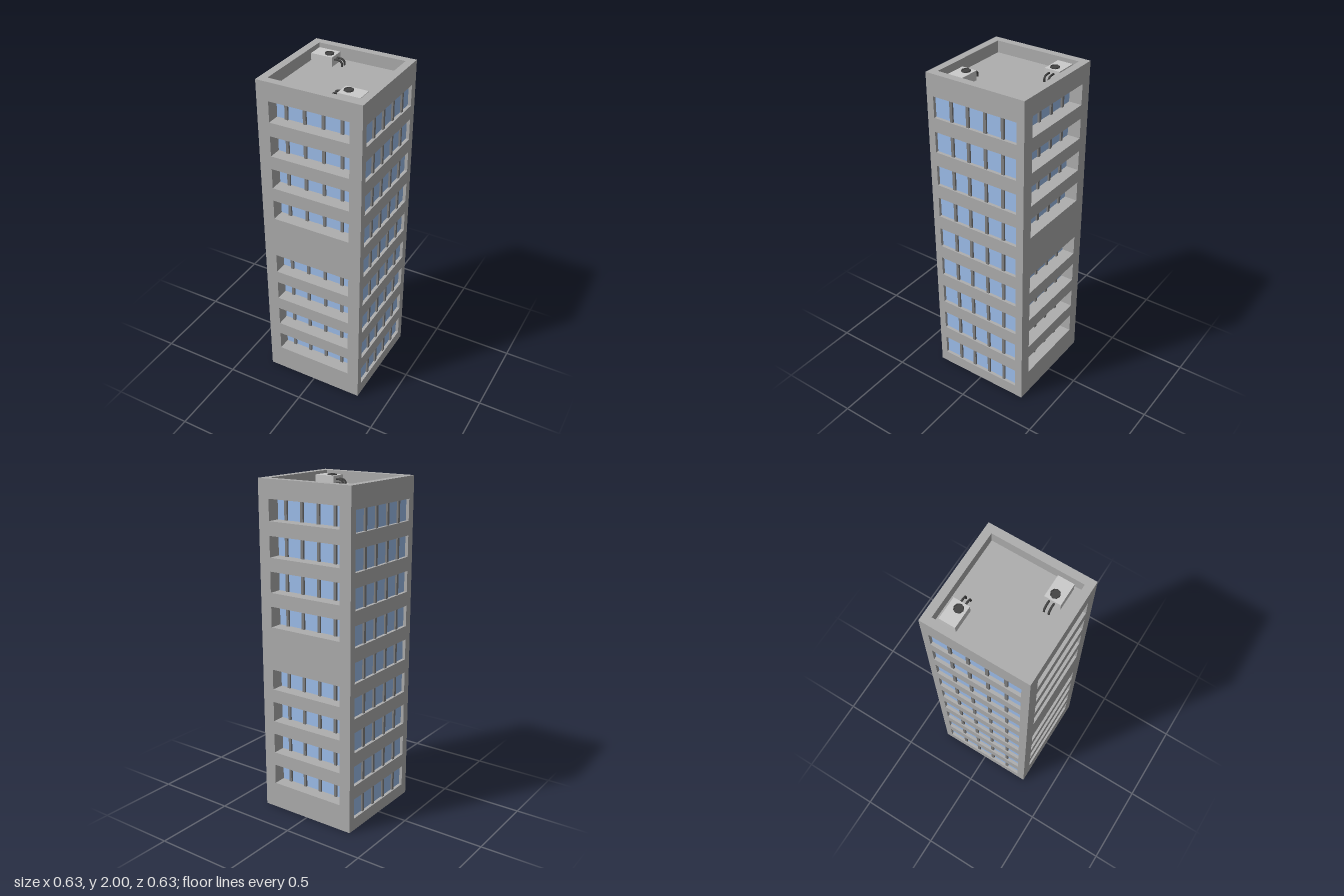
import * as THREE from 'three';

const HALF = 0.313, ROOF = 1.93, TOP = 2, RIM = 0.267;
const FRONT_DEPTH = 0.08, SIDE_DEPTH = 0.02;

const mat = (color) => new THREE.MeshStandardMaterial({ color, flatShading: true });
const wallMat = mat(0xaeaeae), mullionMat = mat(0x808080), glassMat = mat(0x9ebfec);
const unitMat = mat(0xcccccc), darkMat = mat(0x444444);

function add(parent, name, geometry, material, x = 0, y = 0, z = 0) {
  const mesh = new THREE.Mesh(geometry, material);
  mesh.name = name;
  mesh.position.set(x, y, z);
  parent.add(mesh);
  return mesh;
}

function box(parent, name, material, [x0, x1], [y0, y1], [z0, z1]) {
  return add(parent, name, new THREE.BoxGeometry(x1 - x0, y1 - y0, z1 - z0), material,
    (x0 + x1) / 2, (y0 + y1) / 2, (z0 + z1) / 2);
}

function rectPath(Type, x0, x1, y0, y1) {
  return new Type([[x0, y0], [x1, y0], [x1, y1], [x0, y1]].map((p) => new THREE.Vector2(...p)));
}

// One facade: a wall with long openings, each holding a glass strip and four mullions
function facade({ name, halfWidth, depth, span, rows, rowHeight, mullions }) {
  const group = new THREE.Group();
  group.name = name;
  const wall = rectPath(THREE.Shape, -halfWidth, halfWidth, 0, ROOF);
  const back = HALF - depth;
  for (const y of rows) {
    wall.holes.push(rectPath(THREE.Path, span[0], span[1], y, y + rowHeight));
    box(group, 'windowGlass', glassMat, span, [y, y + rowHeight], [back - 0.01, back + 0.001]);
    for (const x of mullions) {
      box(group, 'windowMullion', mullionMat, [x - 0.009, x + 0.009], [y, y + rowHeight], [back, back + 0.012]);
    }
  }
  const geo = new THREE.ExtrudeGeometry(wall, { depth, bevelEnabled: false });
  add(group, 'facadeWall', geo, wallMat, 0, 0, back);
  return group;
}

// Rooftop cooling unit: cabinet, octagonal fan and two bent pipes
function coolingUnit() {
  const group = new THREE.Group();
  group.name = 'coolingUnit';
  box(group, 'cabinet', unitMat, [-0.066, 0.066], [0, 0.055], [-0.047, 0.047]);

  const profile = [[0, 0.003], [0.021, 0.003], [0.022, 0.007], [0.025, 0.007], [0.027, 0.004], [0.027, 0]];
  const fan = new THREE.LatheGeometry(profile.reverse().map((p) => new THREE.Vector2(...p)), 8);
  add(group, 'fan', fan, darkMat, 0.028, 0.055, 0.0065).material.side = THREE.DoubleSide;

  const path = new THREE.CatmullRomCurve3([
    [0.06, 0.034], [0.085, 0.034], [0.102, 0.03], [0.112, 0.018], [0.113, 0],
  ].map(([x, y]) => new THREE.Vector3(x, y, 0)));
  for (const z of [-0.01, 0.0175]) {
    add(group, 'pipe', new THREE.TubeGeometry(path, 12, 0.006, 8), darkMat, 0, 0, z);
  }
  return group;
}

export function createModel() {
  const model = new THREE.Group();
  model.name = 'towerBlock';

  // Solid core, whose top is the roof deck
  const coreX = HALF - SIDE_DEPTH, coreZ = HALF - FRONT_DEPTH;
  box(model, 'core', wallMat, [-coreX, coreX], [0, ROOF], [-coreZ, coreZ]);

  // Facades: the same pair repeats half a turn round
  const front = {
    name: 'frontFacade', halfWidth: coreX, depth: FRONT_DEPTH, span: [-0.24, 0.24], rowHeight: 0.123,
    rows: [0.16, 0.365, 0.57, 0.773, 1.155, 1.36, 1.563, 1.768],
    mullions: [-0.177, -0.065, 0.048, 0.16],
  };
  const side = {
    name: 'sideFacade', halfWidth: HALF, depth: SIDE_DEPTH, span: [-0.27, 0.265], rowHeight: 0.125,
    rows: Array.from({ length: 9 }, (_, i) => 0.075 + i * 0.209),
    mullions: [-0.16, -0.052, 0.06, 0.172],
  };
  [front, side, front, side].forEach((spec, i) => {
    const wall = facade(spec);
    wall.rotation.y = i * Math.PI / 2;
    model.add(wall);
  });

  // Parapet around the roof
  const ring = rectPath(THREE.Shape, -HALF, HALF, -HALF, HALF);
  ring.holes.push(rectPath(THREE.Path, -RIM, RIM, -RIM, RIM));
  const parapet = new THREE.ExtrudeGeometry(ring, { depth: TOP - ROOF, bevelEnabled: false });
  add(model, 'parapet', parapet.rotateX(-Math.PI / 2), wallMat, 0, ROOF, 0);

  // Two cooling units facing each other
  const rear = coolingUnit();
  rear.position.set(-0.184, ROOF, -0.1935);
  const near = coolingUnit();
  near.position.set(0.184, ROOF, 0.175);
  near.rotation.y = Math.PI;
  model.add(rear, near);

  return model;
}
